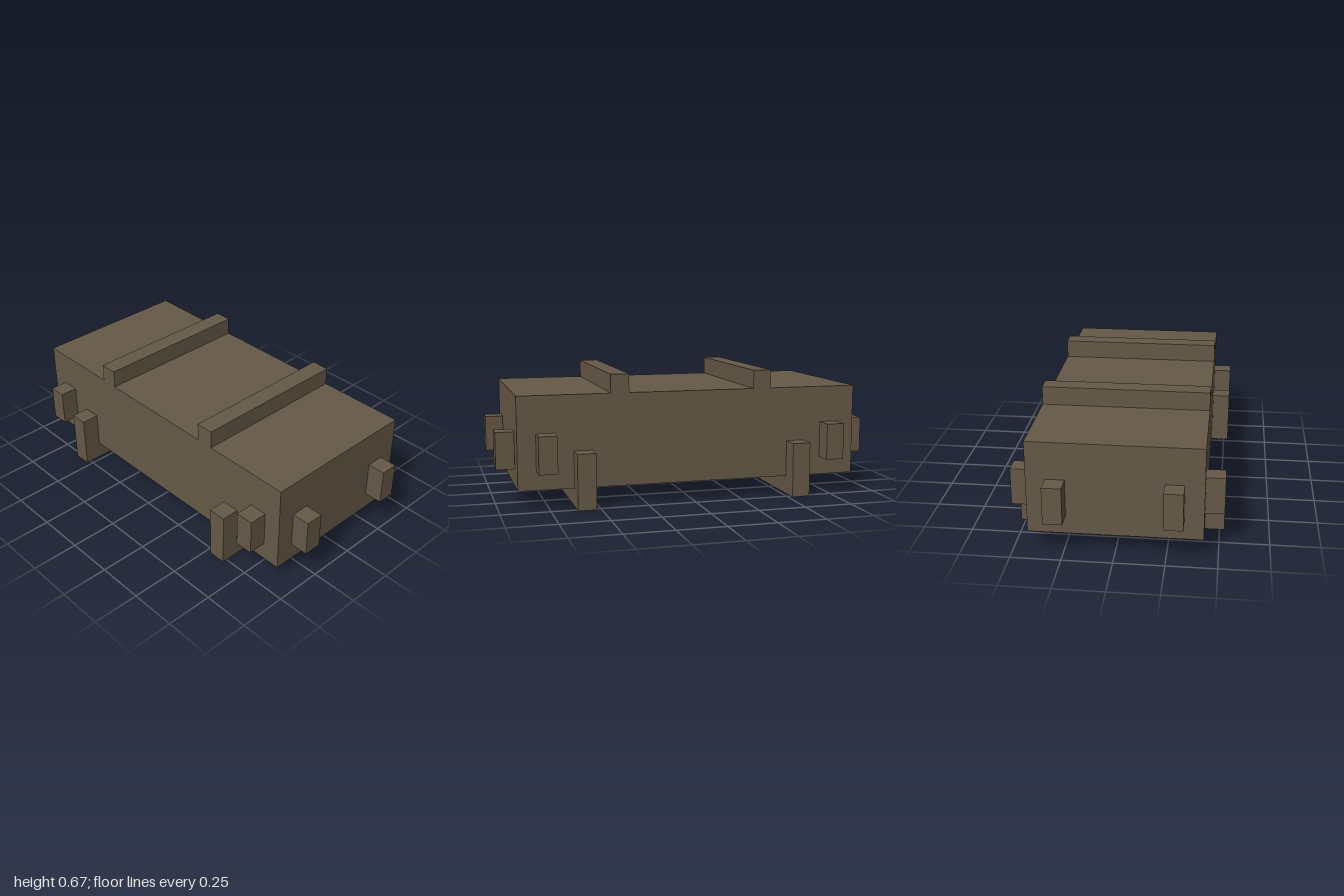
import * as THREE from 'three';

// Everything sits on a 21-unit-long block grid
const U = 2 / 21;

export function createModel() {
  const model = new THREE.Group();
  model.name = 'crate';
  const brown = new THREE.MeshStandardMaterial({ color: 0x665a48 });
  brown.name = 'drab brown';

  // Box from grid size and centre
  const block = (name, w, h, d, x, y, z) => {
    const mesh = new THREE.Mesh(new THREE.BoxGeometry(w * U, h * U, d * U), brown);
    mesh.name = name;
    mesh.position.set(x * U, y * U, z * U);
    model.add(mesh);
  };

  block('body', 9, 5, 18.96, 0, 3.5, 0);

  for (const end of [1, -1]) {
    const endName = end > 0 ? 'front' : 'back';

    // Strap across the lid
    block(`${endName}TopStrap`, 9, 1, 1, 0, 6.5, 4 * end);

    // Runner under the body, turned up at both sides
    block(`${endName}Runner`, 11, 1, 1, 0, 0.5, 6 * end);

    for (const side of [1, -1]) {
      const name = endName + (side > 0 ? 'Left' : 'Right');
      block(`${name}RunnerUpright`, 1, 2, 1, 5 * side, 2, 6 * end);
      // Short lugs on the end and side walls
      block(`${name}EndLug`, 1, 2, 1, 3 * side, 3, 10 * end);
      block(`${name}SideLug`, 1, 2, 1, 5 * side, 3, 8 * end);
    }
  }
  return model;
}
